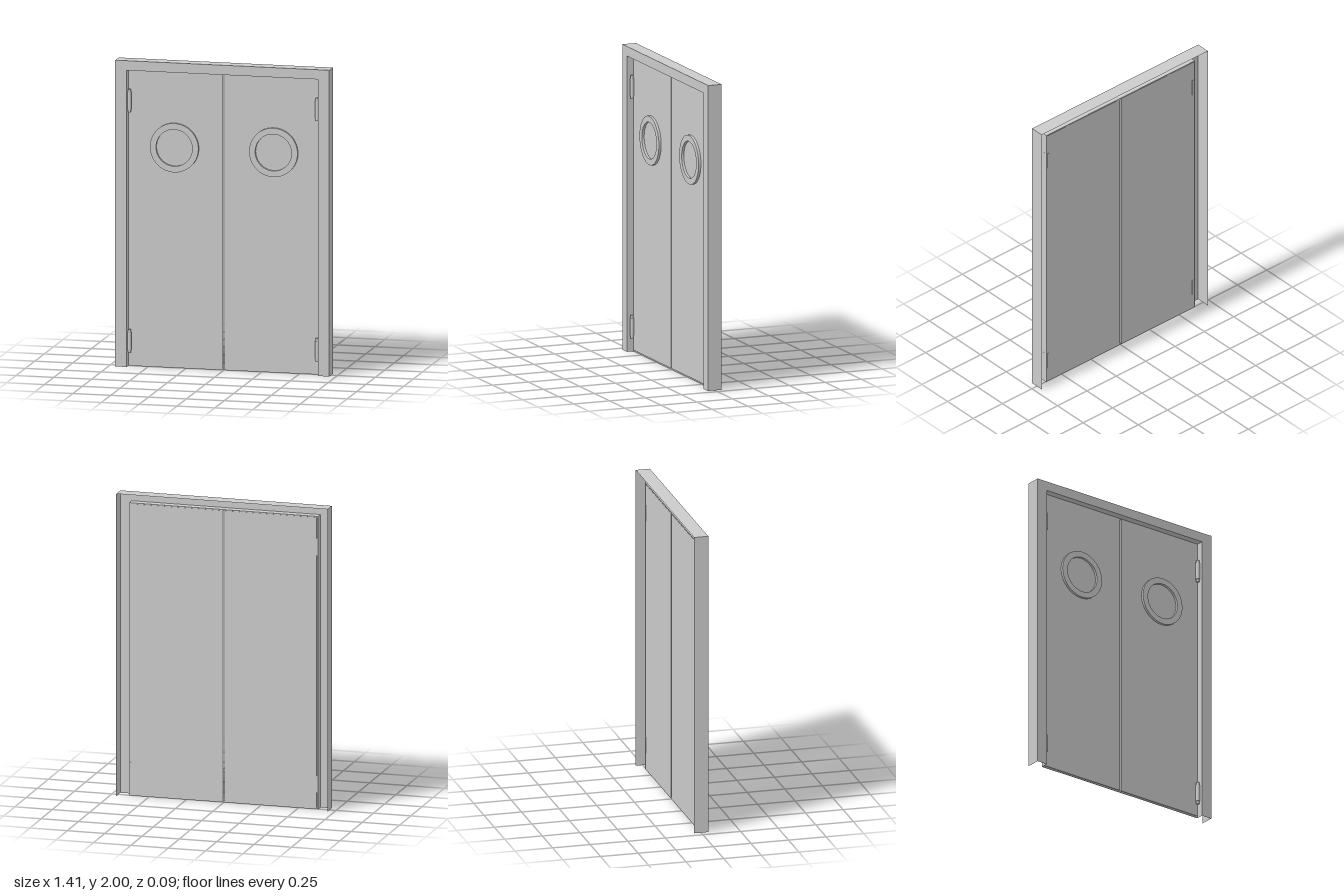
import * as THREE from 'three';
import { toCreasedNormals } from 'three/addons/utils/BufferGeometryUtils.js';

const grey = new THREE.MeshStandardMaterial({ color: 0xcccccc });
const sheet = new THREE.MeshStandardMaterial({ color: 0xcccccc, side: THREE.DoubleSide });

const HALF_W = 0.707, HEIGHT = 2, DEPTH = 0.047;  // frame outside
const OPEN_X = 0.632, OPEN_Y = 1.937;             // opening
const DOOR_X = 0.622, DOOR_Y0 = 0.01, DOOR_Y1 = 1.93, SEAM = 0.006;
const DOOR_Z = 0.006;                             // half thickness of a leaf
const PORT_Y = 1.44, PORT_R = 0.16, GLASS_R = 0.12;

function add(parent, name, geometry, material = grey) {
  const mesh = new THREE.Mesh(geometry, material);
  mesh.name = name;
  parent.add(mesh);
  return mesh;
}

// Folded sheet frame: outer side, front face and inner return, mitred at the corners
function frameGeometry() {
  const section = [
    [HALF_W, HEIGHT, -DEPTH], [HALF_W, HEIGHT, DEPTH],
    [OPEN_X, OPEN_Y, DEPTH], [OPEN_X, OPEN_Y, -DOOR_Z]
  ];
  const rows = section.map(([x, y, z]) => [[-x, 0, z], [-x, y, z], [x, y, z], [x, 0, z]]);
  const position = [];
  for (let i = 0; i < rows.length - 1; i++) {
    for (let j = 0; j < 3; j++) {
      const a = rows[i][j], b = rows[i + 1][j], c = rows[i + 1][j + 1], d = rows[i][j + 1];
      position.push(...a, ...b, ...c, ...a, ...c, ...d);
    }
  }
  const g = new THREE.BufferGeometry();
  g.setAttribute('position', new THREE.Float32BufferAttribute(position, 3));
  g.computeVertexNormals();
  return g;
}

function rectPath(path, x0, y0, x1, y1) {
  path.moveTo(x0, y0).lineTo(x1, y0).lineTo(x1, y1).lineTo(x0, y1).closePath();
  return path;
}

// Door leaf with a round opening
function leafGeometry(side, portX) {
  const x0 = side < 0 ? -DOOR_X : SEAM, x1 = side < 0 ? -SEAM : DOOR_X;
  const shape = rectPath(new THREE.Shape(), x0, DOOR_Y0, x1, DOOR_Y1);
  const hole = new THREE.Path();
  hole.absarc(portX, PORT_Y, PORT_R - 0.001, 0, Math.PI * 2, true);
  shape.holes.push(hole);
  const g = new THREE.ExtrudeGeometry(shape, { depth: DOOR_Z * 2, bevelEnabled: false, curveSegments: 48 });
  return g.translate(0, 0, -DOOR_Z);
}

// Round window: raised rim around a recessed pane, flush at the back
function portholeGeometry() {
  const profile = [
    [0, -DOOR_Z], [PORT_R, -DOOR_Z], [PORT_R, 0.022],
    [GLASS_R, 0.022], [GLASS_R, DOOR_Z], [0, DOOR_Z]
  ].map(([r, y]) => new THREE.Vector2(r, y));
  const g = new THREE.LatheGeometry(profile, 64).rotateX(Math.PI / 2);
  return toCreasedNormals(g, Math.PI / 6);
}

// Hinge: thick barrel on a slimmer pin, with a leaf plate through the door edge
function hinge(side, y) {
  const group = new THREE.Group();
  group.name = 'hinge';
  add(group, 'hingePin', new THREE.CylinderGeometry(0.01, 0.01, 0.15, 20));
  add(group, 'hingeBarrel', new THREE.CylinderGeometry(0.014, 0.014, 0.115, 20));
  add(group, 'hingePlate', new THREE.BoxGeometry(0.016, 0.11, 0.025)).position.set(-side * 0.003, 0, -0.0125);
  group.position.set(side * 0.62, y, 0.017);
  return group;
}

export function createModel() {
  const model = new THREE.Group();
  model.name = 'doubleSwingDoor';

  add(model, 'doorFrame', frameGeometry(), sheet);

  // Thin seal between the frame and the leaves
  const seal = rectPath(new THREE.Shape(), -OPEN_X, 0, OPEN_X, OPEN_Y);
  seal.holes.push(rectPath(new THREE.Path(), -DOOR_X, DOOR_Y0, DOOR_X, DOOR_Y1));
  const sealGeometry = new THREE.ExtrudeGeometry(seal, { depth: 0.004, bevelEnabled: false });
  add(model, 'doorSeal', sealGeometry.translate(0, 0, -0.004));

  for (const [side, word, portX] of [[-1, 'right', -0.324], [1, 'left', 0.331]]) {
    const door = new THREE.Group();
    door.name = word + 'Door';
    add(door, 'doorLeaf', leafGeometry(side, portX));
    add(door, 'porthole', portholeGeometry()).position.set(portX, PORT_Y, 0);
    for (const y of [0.165, 1.735]) door.add(hinge(side, y));
    model.add(door);
  }
  return model;
}
